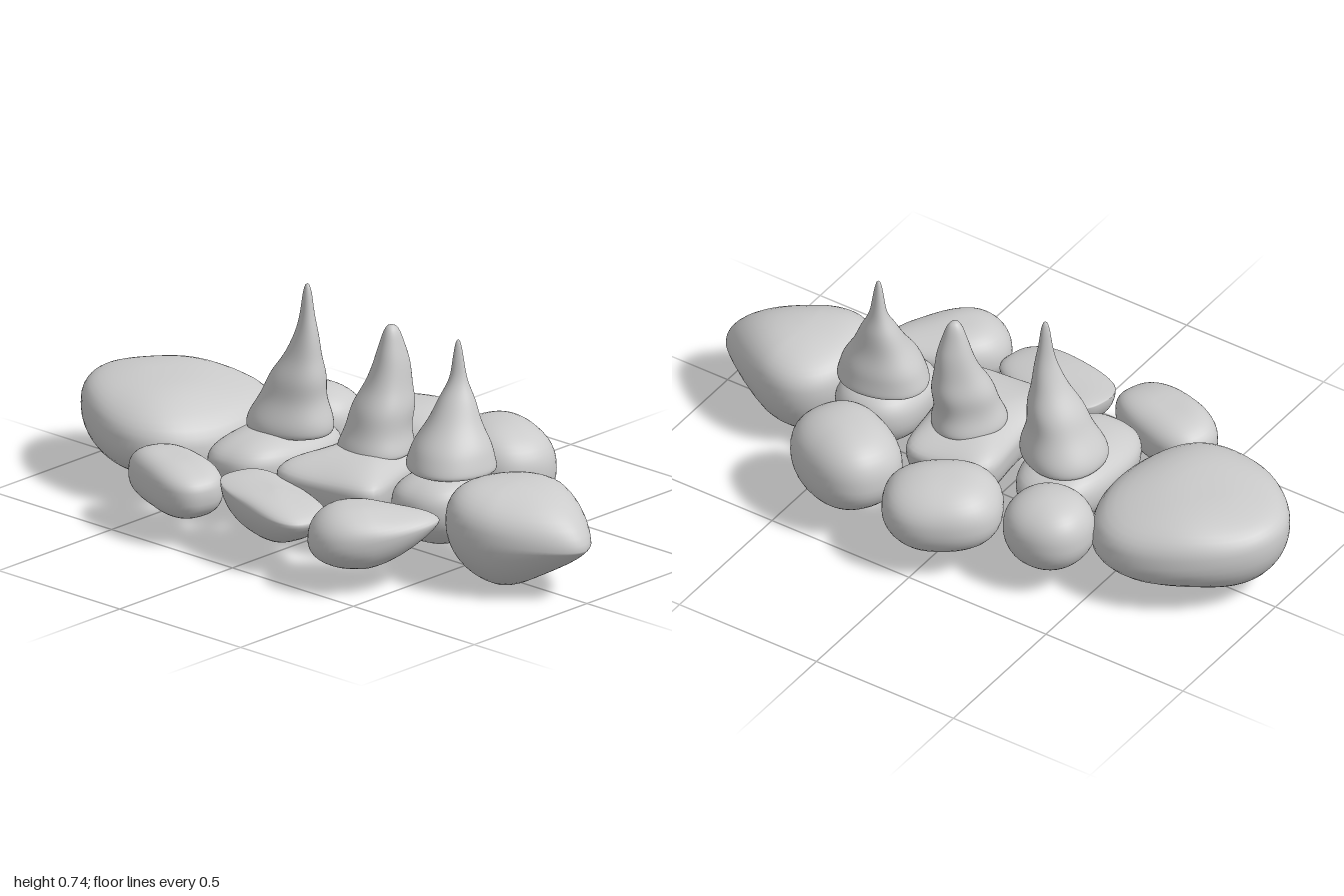
import * as THREE from 'three';

const SIDES = 64;

// Skin over rings (bottom to top, counter-clockwise from above) closed by two poles
function loft(name, rings, bottom, top) {
  const verts = [...rings.flat(), bottom, top];
  const b = verts.length - 2, t = verts.length - 1;
  const last = (rings.length - 1) * SIDES, index = [];
  for (let j = 0; j < SIDES; j++) {
    const k = (j + 1) % SIDES;
    index.push(b, k, j, t, last + j, last + k);
    for (let r = 0; r < last; r += SIDES) {
      const q = r + SIDES;
      index.push(r + j, r + k, q + k, r + j, q + k, q + j);
    }
  }
  const geo = new THREE.BufferGeometry().setFromPoints(verts);
  geo.setIndex(index);
  geo.computeVertexNormals();
  const mesh = new THREE.Mesh(geo, new THREE.MeshStandardMaterial({ color: 0xcccccc }));
  mesh.name = name;
  return mesh;
}

// Boulder: a superellipse in plan (tapered and waisted along its length, turned about y),
// domed from its sloping edge up to hi and down to lo; sharp thins the far end of its length
function rock(name, { x, z, rx, rz, lo, hi, edge = 0.19, slope = 0, square = 2.4, taper = 0, waist = 0,
  turn = 0, peak = 0, dome = 2.4, belly = 2.1, sharp = 0 }) {
  const place = (u, y, w) => new THREE.Vector3(u * rx, y, -w * rz)
    .applyAxisAngle(new THREE.Vector3(0, 1, 0), turn).add(new THREE.Vector3(x, 0, z));
  const rings = [], steps = 11;
  for (let i = 1 - steps; i < steps; i++) {
    const a = (i / steps) * Math.PI / 2, end = i < 0 ? lo : hi;
    const ring = [];
    for (let j = 0; j < SIDES; j++) {
      const t = (j / SIDES) * Math.PI * 2, c = Math.cos(t), n = Math.sin(t);
      const r = (Math.abs(c) ** square + Math.abs(n) ** square) ** (-1 / square);
      const u = r * c, w = r * n * (1 + taper * u) * (1 - waist * (1 - u * u));
      const power = (i < 0 ? belly : dome) - sharp * Math.max(u, 0);
      const s = Math.cos(a) ** (2 / power), f = Math.abs(Math.sin(a)) ** (2 / power);
      const p = place(peak * (1 - s) + u * s, THREE.MathUtils.lerp(edge + slope * u, end, f), w * s);
      p.y += 0.012 * f * s * Math.sin(13 * p.x + 2 * p.z) * Math.cos(12 * p.z - 3 * p.x);
      ring.push(p);
    }
    rings.push(ring);
  }
  return loft(name, rings, place(peak, lo, 0), place(peak, hi, 0));
}

// Relative height and radius shared by all spires
const PROFILE = new THREE.SplineCurve([
  [0, 0.85], [0.03, 1], [0.16, 0.87], [0.34, 0.66], [0.52, 0.43], [0.68, 0.25], [0.85, 0.17], [1, 0.15],
].map(p => new THREE.Vector2(...p)));

// Lumpy spire leaning from its base centre towards its rounded tip
function spire(name, { base, tip, rx, rz, thin, phase }) {
  const from = new THREE.Vector3(...base), to = new THREE.Vector3(...tip);
  const rings = [], steps = 48;
  for (let i = 0; i < steps; i++) {
    const { x: h, y: size } = PROFILE.getPoint(i / steps);
    const c = from.clone().lerp(to, THREE.MathUtils.smoothstep(h, 0, 0.75));
    const y = THREE.MathUtils.lerp(from.y, to.y, h), ring = [];
    const radius = size ** thin * Math.sqrt(1 - h ** 6) * (1 + 0.03 * Math.sin(y * 45 + phase));
    for (let j = 0; j < SIDES; j++) {
      const a = (j / SIDES) * Math.PI * 2;
      const k = radius * (1 + 0.04 * Math.sin(3 * a + phase + y * 5));
      ring.push(new THREE.Vector3(c.x + Math.cos(a) * rx * k, y, c.z - Math.sin(a) * rz * k));
    }
    rings.push(ring);
  }
  return loft(name, rings, from, to);
}

export function createModel() {
  const group = new THREE.Group();
  group.name = 'rockFormation';

  // Large rocks at both ends
  group.add(
    rock('largeEndRock', { x: -0.7, z: 0.02, rx: 0.3, rz: 0.29, lo: 0.042, hi: 0.325, slope: -0.035, square: 2.1, taper: 0.25, peak: -0.3, dome: 2.7 }),
    rock('pointedEndRock', { x: 0.76, z: 0.01, rx: 0.24, rz: 0.195, lo: 0, hi: 0.33, slope: -0.02, square: 2, taper: -0.4, peak: -0.22, dome: 2.6, belly: 2, sharp: 0.8 }),
  );

  // Back row
  group.add(
    rock('backRockRight', { x: -0.35, z: -0.26, rx: 0.14, rz: 0.13, lo: 0.07, hi: 0.31, square: 2.2 }),
    rock('backRockMiddle', { x: -0.025, z: -0.355, rx: 0.185, rz: 0.155, lo: 0.07, hi: 0.31, turn: 0.5 }),
    rock('backRockLeft', { x: 0.342, z: -0.332, rx: 0.19, rz: 0.15, lo: 0.06, hi: 0.345, edge: 0.205, square: 2.3, turn: -0.4 }),
  );

  // Front row
  group.add(
    rock('frontRockRight', { x: -0.345, z: 0.382, rx: 0.185, rz: 0.11, lo: 0.075, hi: 0.25, edge: 0.165, square: 2.6, turn: -0.3, dome: 2.8, belly: 2.5 }),
    rock('frontRockMiddle', { x: 0.035, z: 0.355, rx: 0.205, rz: 0.11, lo: 0.065, hi: 0.228, edge: 0.195, slope: -0.025, square: 2.8, turn: -0.22, dome: 2, belly: 1.9, sharp: 0.3 }),
    rock('frontRockLeft', { x: 0.42, z: 0.325, rx: 0.2, rz: 0.125, lo: 0.065, hi: 0.262, edge: 0.18, slope: 0.03, square: 2.1, taper: -0.3, turn: 0.78, peak: -0.25, dome: 2.3, sharp: 0.7 }),
  );

  // Middle row carrying the spires
  group.add(
    rock('baseRockRight', { x: -0.255, z: 0.04, rx: 0.145, rz: 0.23, lo: 0.06, hi: 0.275, square: 2.6 }),
    rock('baseRockMiddle', { x: 0.092, z: 0.01, rx: 0.24, rz: 0.2, lo: 0.05, hi: 0.285, edge: 0.215, square: 4.5, taper: 0.15, waist: 0.22, turn: -1.45 }),
    rock('baseRockLeft', { x: 0.42, z: 0.005, rx: 0.14, rz: 0.17, lo: 0.065, hi: 0.295, edge: 0.2 }),
  );

  // Spires
  group.add(
    spire('spireRight', { base: [-0.237, 0.255, -0.015], tip: [-0.168, 0.74, -0.012], rx: 0.137, rz: 0.125, thin: 0.95, phase: 0.5 }),
    spire('spireMiddle', { base: [0.1, 0.265, -0.033], tip: [0.117, 0.66, -0.08], rx: 0.112, rz: 0.115, thin: 0.48, phase: 2 }),
    spire('spireLeft', { base: [0.413, 0.285, -0.02], tip: [0.402, 0.685, -0.07], rx: 0.148, rz: 0.135, thin: 1.1, phase: 4 }),
  );
  return group;
}
